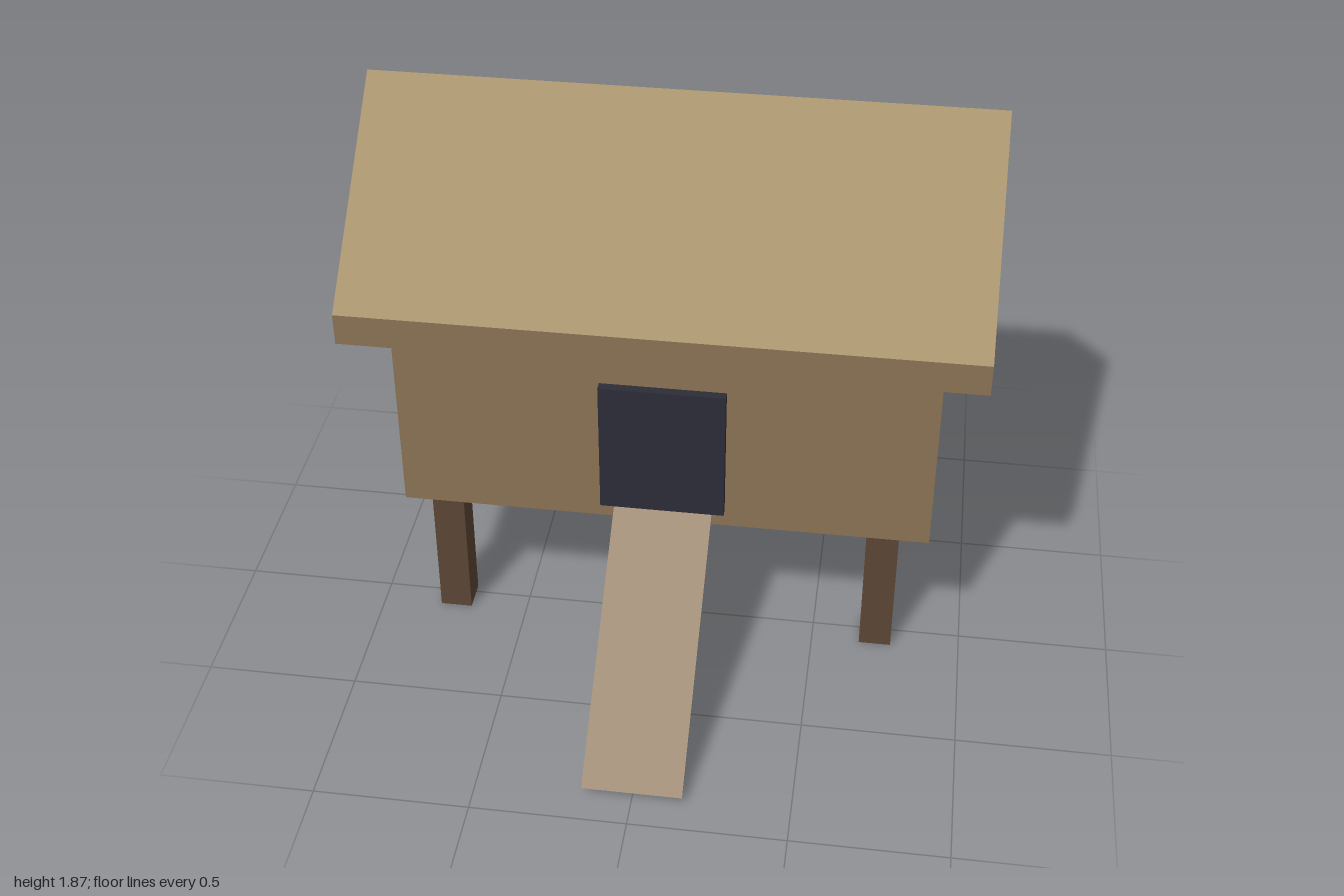
import * as THREE from 'three';

const mat = (name, color, side = THREE.DoubleSide) =>
  Object.assign(new THREE.MeshStandardMaterial({ color, side }), { name });

// Box sides in BoxGeometry order: +x, -x, +y, -y, +z, -z
const SIDES = { right: 0, left: 1, top: 2, bottom: 3, front: 4, back: 5 };

// Box between two corners that keeps only the listed sides
function openBox(min, max, keep = Object.keys(SIDES)) {
  const [w, h, d] = max.map((v, i) => v - min[i]);
  const geo = new THREE.BoxGeometry(w, h, d);
  const all = Array.from(geo.index.array);
  geo.setIndex(keep.flatMap((s) => all.slice(SIDES[s] * 6, SIDES[s] * 6 + 6)));
  geo.clearGroups();
  geo.translate(...max.map((v, i) => (v + min[i]) / 2));
  return geo;
}

export function createModel() {
  const group = new THREE.Group();
  const wood = mat('wood', 0x8b7355);
  const darkWood = mat('dark wood', 0x5b4735);
  const thatch = mat('thatch', 0x967f4a);
  const opening = mat('dark opening', 0x2d2d38);

  const add = (name, geo, material) => {
    const mesh = new THREE.Mesh(geo, material);
    mesh.name = name;
    group.add(mesh);
    return mesh;
  };
  const around = ['right', 'left', 'front', 'back'];

  // Walls, open underneath
  add('walls', openBox([-0.865, 0.54, -0.765], [0.865, 1.338, 0.167], around), wood);

  // Eaves tray: fascias and soffit, open at both ends
  add('eaves', openBox([-1, 1.235, -0.895], [1, 1.34, 0.3], ['front', 'back', 'bottom']), wood);

  // Gabled roof prism
  const gable = new THREE.Shape([
    new THREE.Vector2(-0.3, 1.34),
    new THREE.Vector2(0.895, 1.34),
    new THREE.Vector2(0.2975, 1.87),
  ]);
  const roof = new THREE.ExtrudeGeometry(gable, { depth: 2, bevelEnabled: false });
  roof.rotateY(Math.PI / 2).translate(-1, 0, 0);
  add('roof', roof, thatch);

  // Door set into the front wall
  add('door', openBox([-0.204, 0.603, 0.16], [0.2, 1.07, 0.197]), opening);

  // Sloping ramp from the doorstep to the ground
  const run = 0.9 - 0.19, drop = 0.6 - 0.03;
  const ramp = new THREE.PlaneGeometry(0.32, Math.hypot(run, drop));
  ramp.rotateX(-Math.atan2(run, drop)).translate(0, 0.315, 0.545);
  add('ramp', ramp, wood);

  // Four hollow square legs
  for (const x of [-0.8, 0.662]) {
    for (const z of [-0.7, -0.03]) {
      const name = (z < -0.5 ? 'back' : 'front') + (x > 0 ? 'Left' : 'Right') + 'Leg';
      add(name, openBox([x, 0, z], [x + 0.107, 0.54, z + 0.107], around), darkWood);
    }
  }
  return group;
}
